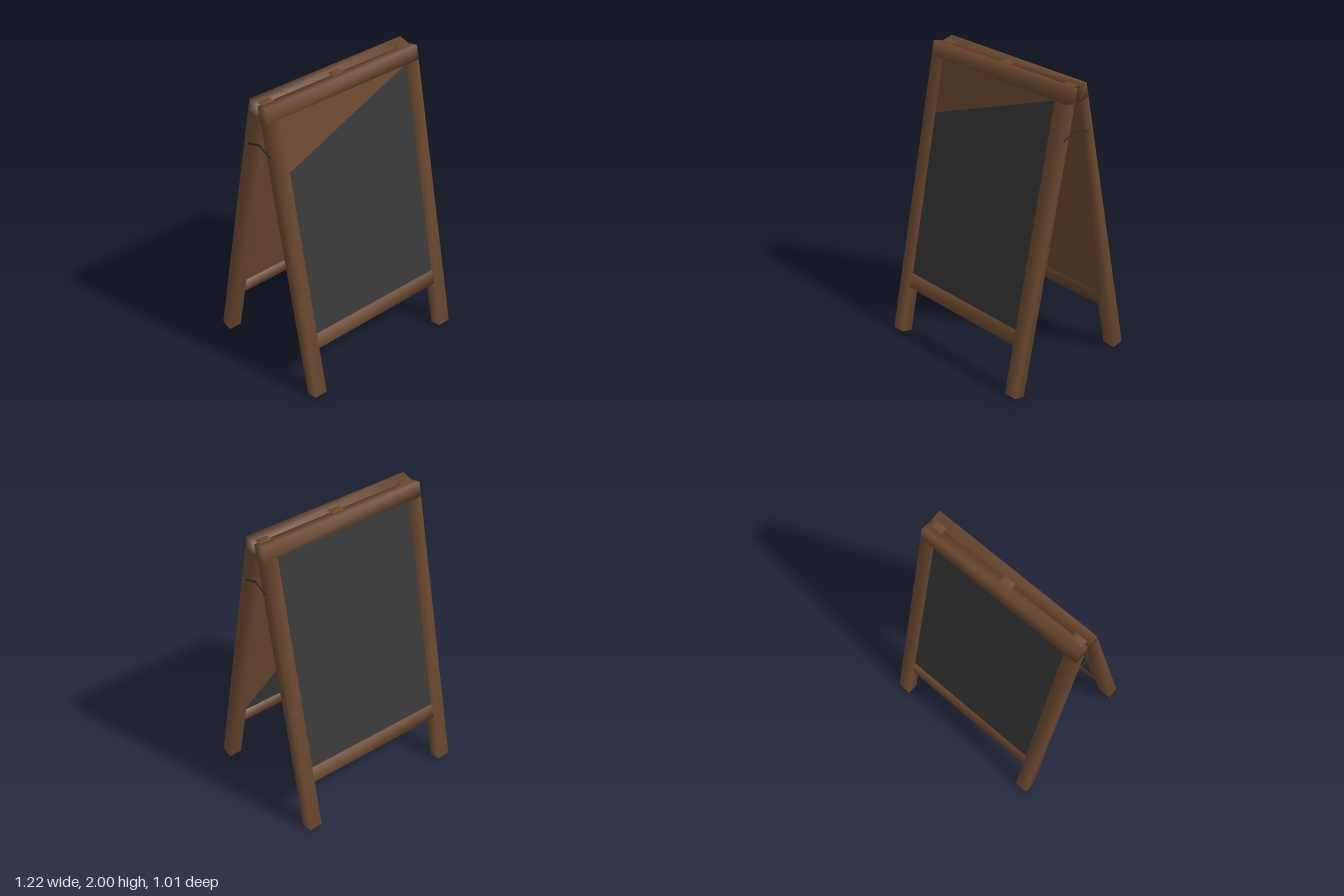
import * as THREE from 'three';
import { mergeVertices } from 'three/addons/utils/BufferGeometryUtils.js';

const wood = new THREE.MeshStandardMaterial({ color: 0x6b4830 });
wood.name = 'wood';
const slate = new THREE.MeshStandardMaterial({ color: 0x383838 });
slate.name = 'slate';
const metal = new THREE.MeshStandardMaterial({ color: 0x2e2e2e });
metal.name = 'dark metal';

const TILT = 0.211; // lean of each leaf
const LENGTH = 2.028; // leg length
const DEPTH = 0.08; // timber depth
const HINGE_Y = 1.983;
const HALF = 0.605; // half width
const INNER = 0.512; // half width of the opening
const TOP = -0.097; // lower edge of the top rail
const LOW = -1.595; // upper edge of the lower rail
const BOARD_IN = 0.016; // inner face of the board
const BOARD_OUT = 0.06; // outer face of the board

function add(group, name, geometry, material) {
  const mesh = new THREE.Mesh(geometry, material);
  mesh.name = name;
  group.add(mesh);
  return mesh;
}

// Smooth-shaded timber given by its limits
function timber(group, name, x0, x1, y0, y1, z0, z1) {
  const box = new THREE.BoxGeometry(x1 - x0, y1 - y0, z1 - z0);
  box.deleteAttribute('normal');
  box.deleteAttribute('uv');
  const geometry = mergeVertices(box);
  geometry.computeVertexNormals();
  geometry.translate((x0 + x1) / 2, (y0 + y1) / 2, (z0 + z1) / 2);
  return add(group, name, geometry, wood);
}

// Thin flat plate from an outline in the leaf's plane
function plate(group, name, points, z, thickness, material) {
  const shape = new THREE.Shape(points.map(([x, y]) => new THREE.Vector2(x, y)));
  const geometry = new THREE.ExtrudeGeometry(shape, { depth: thickness, bevelEnabled: false });
  geometry.translate(0, 0, z);
  return add(group, name, geometry, material);
}

// One leaf, hanging from the hinge line, outer face towards +z
function makeLeaf(name) {
  const leaf = new THREE.Group();
  leaf.name = name;
  for (const [side, s] of [['left', 1], ['right', -1]]) {
    const xs = [s * INNER, s * HALF].sort((a, b) => a - b);
    timber(leaf, side + 'Leg', xs[0], xs[1], -LENGTH, TOP, 0, DEPTH);
  }
  timber(leaf, 'topRail', -HALF, HALF, TOP, 0, 0, DEPTH);
  timber(leaf, 'lowerRail', -INNER, INNER, -1.696, LOW, 0.005, 0.076);
  const opening = [[-INNER, LOW], [INNER, LOW], [INNER, TOP], [-INNER, TOP]];
  plate(leaf, 'backingBoard', opening, BOARD_IN, BOARD_OUT - BOARD_IN, wood);
  plate(leaf, 'writingSurface', opening, BOARD_OUT, 0.003, slate);
  leaf.position.y = HINGE_Y;
  leaf.rotation.order = 'YXZ';
  leaf.rotation.x = -TILT;
  return leaf;
}

export function createModel() {
  const model = new THREE.Group();
  model.name = 'sandwichBoard';

  const front = makeLeaf('frontLeaf');
  const back = makeLeaf('backLeaf');
  back.rotation.y = Math.PI;
  model.add(front, back);

  // Bare wood corner outside, and slate corner inside, the front leaf
  plate(front, 'bareWoodCorner',
    [[-INNER, -0.46], [INNER, TOP], [-INNER, TOP]], BOARD_OUT + 0.003, 0.002, wood);
  plate(front, 'innerSlateCorner',
    [[-INNER, LOW], [INNER, LOW], [-INNER, -0.42]], BOARD_IN - 0.002, 0.002, slate);

  // Hinge blocks bridging the two top rails
  for (const x of [-0.54, 0, 0.54]) {
    timber(model, 'hinge', x - 0.042, x + 0.042, 1.977, 1.99, -0.028, 0.022);
  }

  // Folding stays on both sides
  const outline = [[-0.11, 1.668], [0, 1.705], [0.11, 1.668], [0.11, 1.68], [0, 1.719], [-0.11, 1.68]];
  for (const s of [1, -1]) {
    const stay = plate(model, s > 0 ? 'leftStay' : 'rightStay', outline, -0.003, 0.006, metal);
    stay.rotation.y = Math.PI / 2;
    stay.position.x = s * HALF;
  }
  return model;
}
